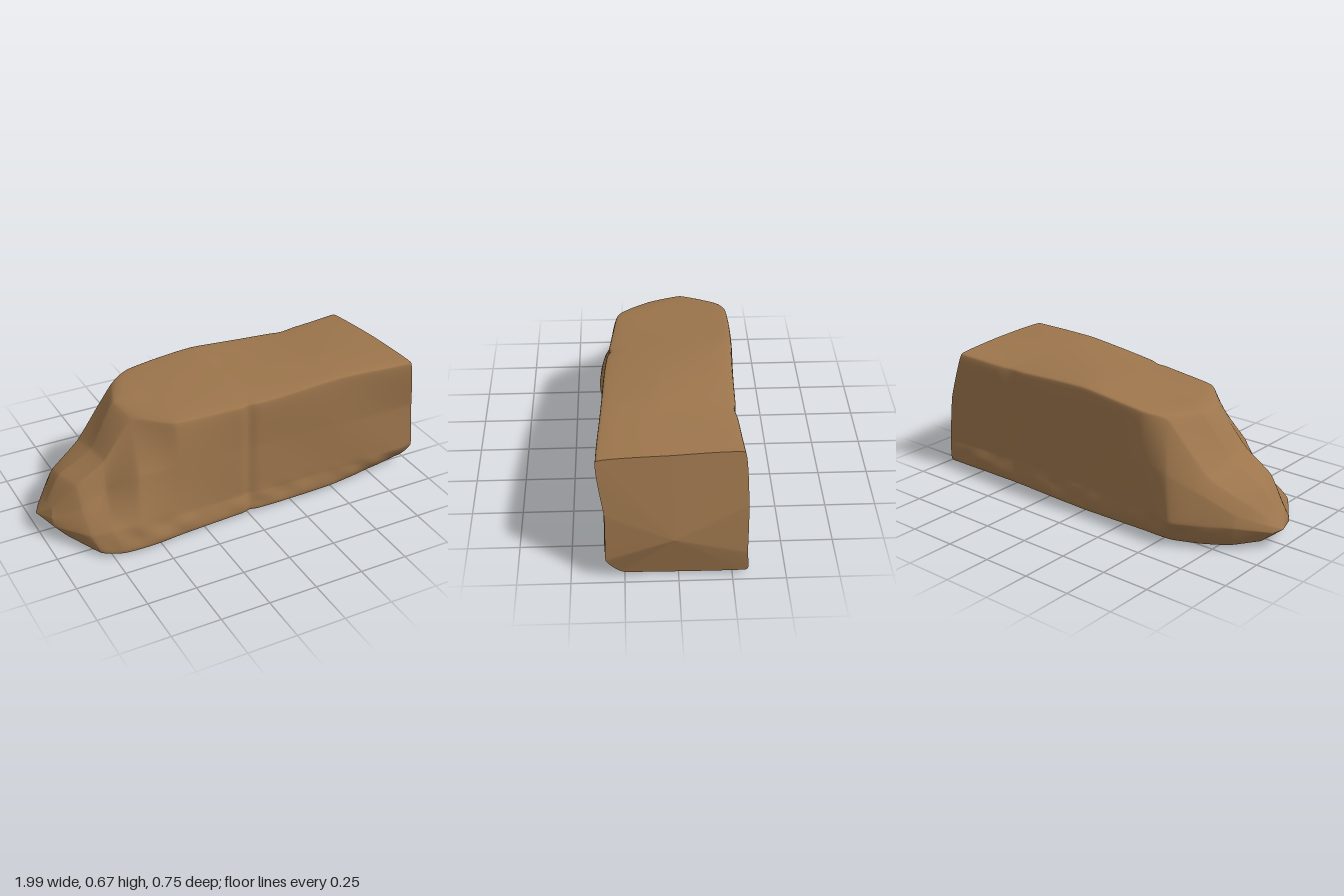
import * as THREE from 'three';

const V = (x, y, z) => new THREE.Vector3(x, y, z);
const rail = (...p) => new THREE.CatmullRomCurve3(p.map(q => V(...q)), false, 'catmullrom', 0.25);

// Lengthwise edges of the boulder, from the pointed end to the blunt end, eight stations each
const frontRails = [
  // foot
  rail([-0.89, 0.02, 0.13], [-0.8, 0.02, 0.32], [-0.7, 0.01, 0.36], [-0.56, 0.01, 0.367], [-0.36, 0.01, 0.35], [0, 0.015, 0.335], [0.5, 0.015, 0.325], [0.95, 0.02, 0.25]),
  // low flank
  rail([-0.95, 0.08, 0.1], [-0.83, 0.1, 0.28], [-0.73, 0.13, 0.325], [-0.6, 0.14, 0.352], [-0.36, 0.13, 0.345], [0, 0.12, 0.328], [0.5, 0.12, 0.343], [0.985, 0.13, 0.337]),
  // middle flank, hollow beside the pointed end
  rail([-0.955, 0.12, 0.085], [-0.83, 0.19, 0.17], [-0.7, 0.26, 0.175], [-0.565, 0.36, 0.27], [-0.37, 0.38, 0.31], [0, 0.38, 0.32], [0.5, 0.39, 0.343], [0.965, 0.38, 0.336]),
  // top edge
  rail([-0.945, 0.16, 0.06], [-0.83, 0.29, 0.11], [-0.68, 0.39, 0.115], [-0.525, 0.57, 0.1], [-0.36, 0.6, 0.26], [0, 0.62, 0.31], [0.5, 0.662, 0.345], [0.915, 0.657, 0.363]),
];
const backRails = [
  // crown
  rail([-0.95, 0.165, 0], [-0.865, 0.285, -0.03], [-0.69, 0.385, -0.03], [-0.545, 0.595, -0.07], [-0.36, 0.62, -0.04], [0, 0.652, 0], [0.5, 0.671, 0.1], [0.895, 0.665, 0.03]),
  // top edge
  rail([-0.955, 0.145, -0.06], [-0.86, 0.24, -0.15], [-0.69, 0.34, -0.21], [-0.48, 0.585, -0.25], [-0.36, 0.62, -0.297], [0, 0.657, -0.298], [0.5, 0.635, -0.278], [0.865, 0.65, -0.3]),
  // middle flank
  rail([-0.97, 0.12, -0.075], [-0.85, 0.19, -0.205], [-0.69, 0.27, -0.27], [-0.53, 0.35, -0.33], [-0.36, 0.38, -0.323], [0, 0.38, -0.311], [0.5, 0.38, -0.29], [0.935, 0.4, -0.316]),
  // low flank
  rail([-0.975, 0.09, -0.08], [-0.85, 0.13, -0.225], [-0.7, 0.13, -0.31], [-0.57, 0.13, -0.368], [-0.36, 0.14, -0.33], [0, 0.14, -0.312], [0.5, 0.14, -0.29], [0.965, 0.14, -0.318]),
  // foot
  rail([-0.91, 0.03, -0.08], [-0.81, 0.02, -0.19], [-0.7, 0.015, -0.25], [-0.55, 0.01, -0.3], [-0.36, 0.01, -0.308], [0, 0.005, -0.308], [0.5, 0.005, -0.288], [0.955, 0.02, -0.312]),
];
const rails = [...frontRails, ...backRails];

const AROUND = 108, ALONG = 140, CAP = 8;

// Worn surface: soft waves, a few chips near the ground and a crack in the front and the back
const bell = (v, centre, width) => Math.exp(-(((v - centre) / width) ** 2));
function weather(p) {
  const { x, y, z } = p;
  const wave = 0.003 * Math.sin(9 * x + 5 * y) * Math.cos(7 * y - 4 * z);
  const chips = 0.008 * bell(y, 0.08, 0.05) * Math.sin(23 * x + 9 * z) * Math.sin(11 * x + 30 * y) * Math.sin(5 * x + 1);
  p.z += Math.sign(z) * Math.min(1, Math.abs(z) * 5) * (wave + chips);
  if (z > 0.2) p.z -= 0.012 * bell(x, 0.01, 0.028) * Math.min(1, (z - 0.2) * 10);
  if (z < -0.15) p.z += 0.008 * bell(x, 0.52, 0.05) * Math.min(1, (-0.15 - z) * 10) * Math.min(1, y * 2);
  p.y = Math.max(0, p.y);
  return p;
}

// Closed cross-section at t along the rails
function section(t) {
  const ring = new THREE.CatmullRomCurve3(rails.map(r => r.getPoint(t)), true, 'catmullrom', 0.14);
  return Array.from({ length: AROUND }, (_, j) => weather(ring.getPoint(j / AROUND)));
}

// Rings shrinking from a rim towards a centre point
const capRows = (rim, centre) => Array.from({ length: CAP + 1 }, (_, i) =>
  rim.map(p => p.clone().lerp(centre, i / CAP)));

// Smooth skin over consecutive closed rings
function skin(rows) {
  const index = [];
  for (let i = 0; i < rows.length - 1; i++) {
    for (let j = 0; j < AROUND; j++) {
      const k = (j + 1) % AROUND;
      const a = i * AROUND + j, b = a + AROUND, c = i * AROUND + k, d = c + AROUND;
      index.push(a, b, c, b, d, c);
    }
  }
  const geometry = new THREE.BufferGeometry().setFromPoints(rows.flat());
  geometry.setIndex(index);
  geometry.computeVertexNormals();
  return geometry;
}

export function createModel() {
  const group = new THREE.Group();
  group.name = 'boulder';
  const material = new THREE.MeshStandardMaterial({ color: 0x9c754c });
  const add = (name, rows) => {
    const mesh = new THREE.Mesh(skin(rows), material);
    mesh.name = name;
    group.add(mesh);
  };

  const body = Array.from({ length: ALONG + 1 }, (_, i) => section(i / ALONG));
  add('rockBody', body);
  add('pointedEnd', capRows(body[0], V(-1, 0.1, -0.03)).reverse());
  add('bluntEnd', capRows(body[ALONG], V(0.982, 0.24, 0.02)));
  return group;
}
